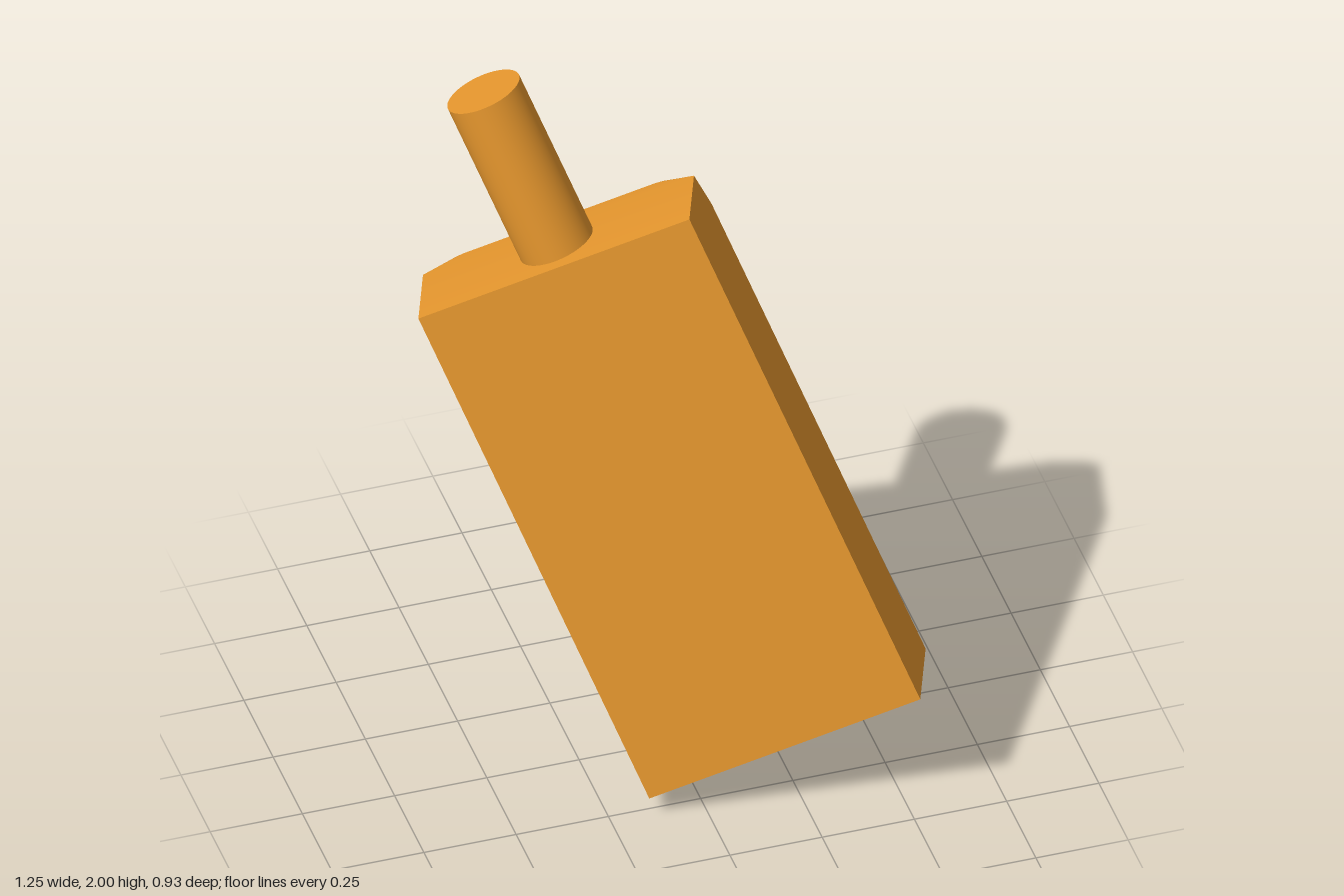
import * as THREE from 'three';
import { toCreasedNormals } from 'three/addons/utils/BufferGeometryUtils.js';

const W = 0.764, H = 1.5, D = 0.29;   // body width, height, depth

// Rectangle outline, counter-clockwise from bottom left, with top corners rounded by r
function outline(z, r, steps = 8) {
  const pts = [new THREE.Vector3(0, 0, z), new THREE.Vector3(W, 0, z)];
  for (const [cx, start] of [[W - r, 0], [r, Math.PI / 2]]) {
    for (let i = 0; i <= steps; i++) {
      const a = start + (i / steps) * Math.PI / 2;
      // a zero radius collapses the arc to a sharp corner
      pts.push(new THREE.Vector3(cx + r * Math.cos(a), H - r + r * Math.sin(a), z));
    }
  }
  return pts;
}

function bodyGeometry() {
  const pos = [];
  const tri = (a, b, c) => {
    const area = b.clone().sub(a).cross(c.clone().sub(a)).length();
    if (area > 1e-7) for (const p of [a, b, c]) pos.push(p.x, p.y, p.z);
  };
  const loops = [outline(0, 0), outline(-0.25, 0), outline(-D, 0.11)];
  const n = loops[0].length;

  // Front face
  const f = loops[0];
  for (let j = 1; j < n - 1; j++) tri(f[0], f[j], f[j + 1]);

  // Side walls, top corners rounding off towards the back
  for (let i = 0; i < 2; i++) {
    for (let j = 0; j < n; j++) {
      const k = (j + 1) % n;
      const a = loops[i][j], b = loops[i][k], c = loops[i + 1][k], d = loops[i + 1][j];
      tri(a, d, c);
      tri(a, c, b);
    }
  }

  // Back: shallow hipped panel rising to a short ridge
  const low = new THREE.Vector3(0.43, 0.45, -D - 0.1);
  const high = new THREE.Vector3(0.44, 1.14, -D - 0.1);
  const back = loops[2];
  for (let j = 0; j < n; j++) {
    const a = back[j], b = back[(j + 1) % n];
    if (j === 0) tri(b, a, low);
    else if (j === 1) { tri(b, a, low); tri(b, low, high); }
    else if (j === n - 1) { tri(b, a, high); tri(b, high, low); }
    else tri(b, a, high);
  }

  const g = new THREE.BufferGeometry();
  g.setAttribute('position', new THREE.Float32BufferAttribute(pos, 3));
  return toCreasedNormals(g, 0.45);
}

export function createModel() {
  const model = new THREE.Group();
  model.name = 'tiltedBottle';
  const material = new THREE.MeshStandardMaterial({ color: 0xe8982e });

  const bottle = new THREE.Group();
  bottle.name = 'bottle';

  const body = new THREE.Mesh(bodyGeometry(), material);
  body.name = 'body';
  bottle.add(body);

  // Neck centred on the top face, sunk slightly into it
  const neck = new THREE.Mesh(new THREE.CylinderGeometry(0.102, 0.102, 0.5, 48), material);
  neck.name = 'neck';
  neck.position.set(W / 2, H + 0.225, -D / 2);
  bottle.add(neck);

  // Lean the whole bottle: u runs along its width, v along its height
  const u = new THREE.Vector3(0.8835, 0.399, 0.245).normalize();
  const v = new THREE.Vector3(-0.316, 0.899, -0.304);
  const w = u.clone().cross(v).normalize();
  v.crossVectors(w, u);
  bottle.quaternion.setFromRotationMatrix(new THREE.Matrix4().makeBasis(u, v, w));
  bottle.position.set(-0.148, 0.06, 0.278);

  model.add(bottle);
  return model;
}
